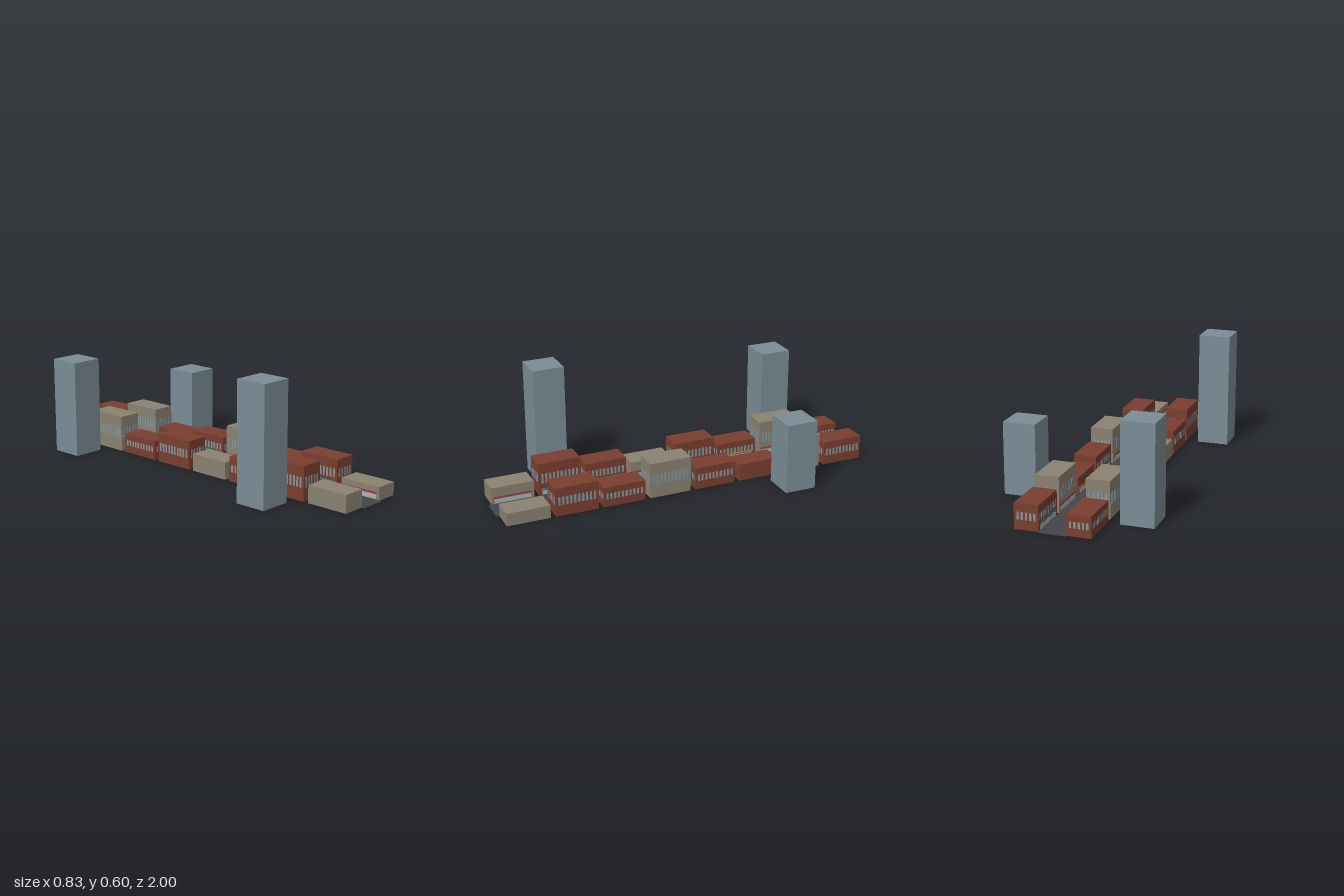
import * as THREE from 'three';

const mat = (color) => new THREE.MeshStandardMaterial({ color });

export function createModel() {
  const city = new THREE.Group();
  city.name = 'mainStreet';

  const brick = mat(0x7a3e2f), stone = mat(0x8a8272), glass = mat(0x82959f);
  const steel = mat(0x7b8d96), asphalt = mat(0x444548), shopGlass = mat(0xa9b4b8);
  const signs = [mat(0xa8324f), mat(0xc08a2c), mat(0x2f8f96)];

  function box(parent, name, material, w, h, d, x, y, z) {
    const mesh = new THREE.Mesh(new THREE.BoxGeometry(w, h, d), material);
    mesh.name = name;
    mesh.position.set(x, y, z);
    parent.add(mesh);
  }

  // Road
  box(city, 'road', asphalt, 0.134, 0.003, 2, 0, 0.0015, 0);

  // One building; local origin is the centre of its footprint, inner is the road side (+1 or -1 in x)
  const W = 0.12, D = 0.223, T = 0.001, PITCH = 0.0205;
  function building(name, h, wall, sign, inner) {
    const g = new THREE.Group();
    g.name = name;
    box(g, 'walls', wall, W, h, D, 0, h / 2, 0);

    // Upper windows on all four faces, only where there is a second storey
    if (h > 0.1) {
      const wh = 0.3 * h, wy = 0.53 * h;
      for (const s of [-1, 1]) {
        for (let i = 0; i < 5; i++)
          box(g, 'endWindow', glass, 0.011, wh, T, (i - 2) * PITCH, wy, s * D / 2);
        for (let i = 0; i < 10; i++)
          box(g, 'sideWindow', glass, T, wh, 0.0115, s * W / 2, wy, (i - 4.5) * PITCH);
      }
    }

    // Shop front and sign band facing the road
    box(g, 'shopWindow', shopGlass, T, 0.022, D * 0.85, inner * W / 2, 0.016, 0);
    box(g, 'signBand', sign, T, 0.009, D * 0.9, inner * W / 2, 0.035, 0);
    return g;
  }

  // Two rows, heights listed from the back to the front
  const rows = [
    { side: 1, name: 'leftBuilding', heights: [0.127, 0.178, 0.09, 0.117, 0.187, 0.105, 0.15, 0.067] },
    { side: -1, name: 'rightBuilding', heights: [0.105, 0.187, 0.102, 0.15, 0.09, 0.127, 0.175, 0.09] },
  ];
  for (const { side, name, heights } of rows) {
    heights.forEach((h, i) => {
      const wall = i % 3 === 1 ? stone : brick;
      const b = building(name, h, i === 7 ? stone : wall, signs[(i + 2) % 3], -side);
      b.position.set(side * 0.127, 0, -0.878 + i * 0.25);
      city.add(b);
    });
  }

  // Plain towers standing behind the rows
  for (const [x, z, h] of [[-0.333, -0.7, 0.5], [0.333, -0.5, 0.368], [-0.333, 0.6, 0.6]])
    box(city, 'tower', steel, 0.166, h, 0.166, x, h / 2, z);

  return city;
}
